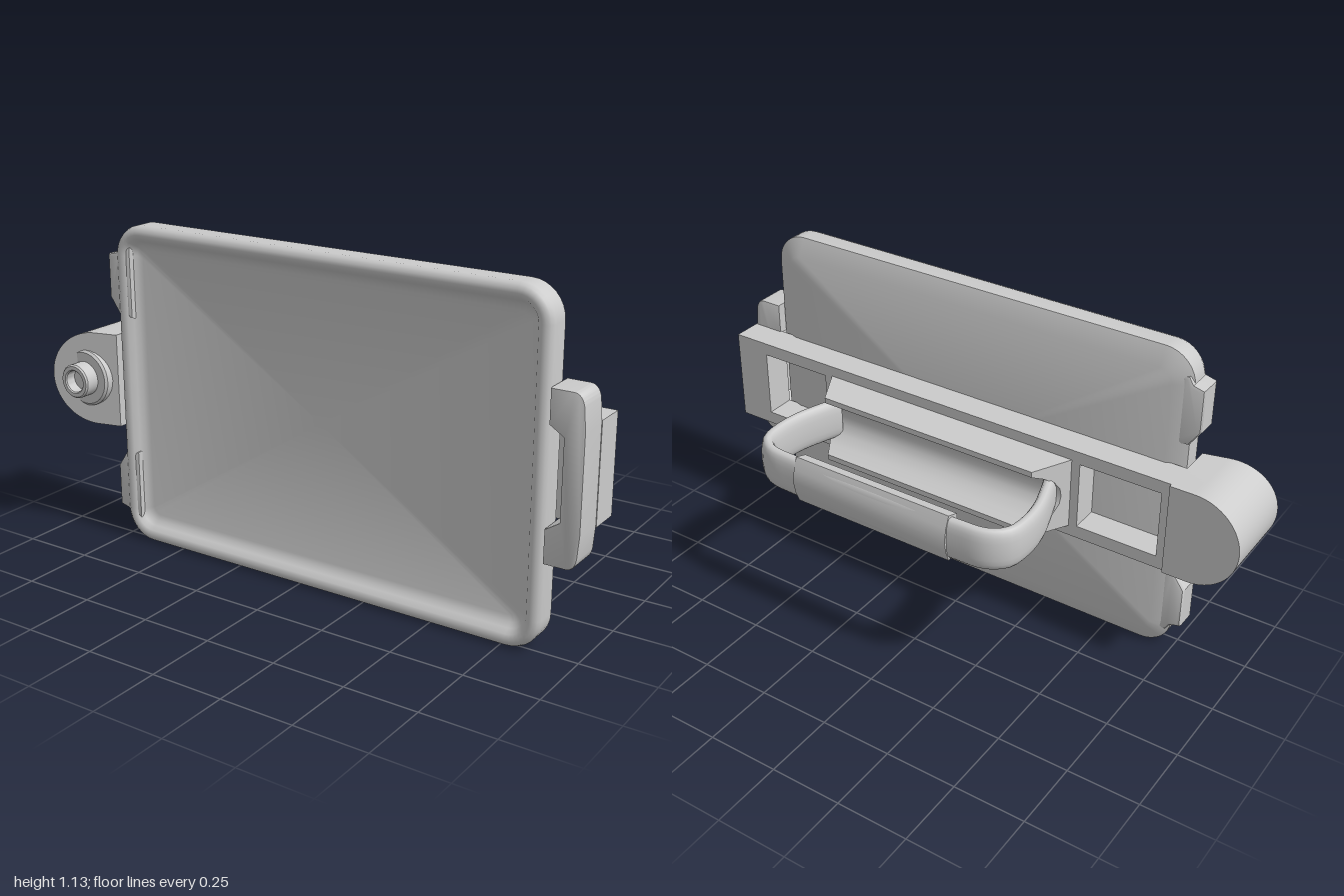
import * as THREE from 'three';
import { toCreasedNormals } from 'three/addons/utils/BufferGeometryUtils.js';

const MID = 0.575;      // height of the bar, boss and handle
const GRIP_X = 0.085;   // centre of the handle

const V = (x, y, z) => new THREE.Vector3(x, y, z);

// Skin a list of equal-length rings (counter-clockwise about the travel direction), capped at both ends
function loft(rings) {
  const n = rings[0].length, pos = [], idx = [];
  rings.flat().forEach(p => pos.push(p.x, p.y, p.z));
  for (let i = 0; i < rings.length - 1; i++) {
    for (let j = 0; j < n; j++) {
      const a = i * n + j, b = i * n + (j + 1) % n;
      idx.push(a, b, b + n, a, b + n, a + n);
    }
  }
  [0, rings.length - 1].forEach((r, end) => {
    const c = rings[r].reduce((s, p) => s.add(p), V(0, 0, 0)).divideScalar(n);
    const k = pos.length / 3;
    pos.push(c.x, c.y, c.z);
    for (let j = 0; j < n; j++) {
      const a = r * n + j, b = r * n + (j + 1) % n;
      if (end) idx.push(k, a, b); else idx.push(k, b, a);
    }
  });
  const g = new THREE.BufferGeometry();
  g.setAttribute('position', new THREE.Float32BufferAttribute(pos, 3));
  g.setIndex(idx);
  return g;
}

// Rounded rectangle outline at depth z
function roundedRing(x0, x1, y0, y1, r, z) {
  const ring = [], steps = 8;
  const centres = [[x1 - r, y1 - r], [x0 + r, y1 - r], [x0 + r, y0 + r], [x1 - r, y0 + r]];
  centres.forEach(([cx, cy], q) => {
    for (let i = 0; i <= steps; i++) {
      const a = (q + i / steps) * Math.PI / 2;
      ring.push(V(cx + r * Math.cos(a), cy + r * Math.sin(a), z));
    }
  });
  return ring;
}

const polygon = pts => new THREE.Shape(pts.map(([x, y]) => new THREE.Vector2(x, y)));

// Extrude a front-facing outline between two depths, with an optional bevel
function slab(shape, z0, z1, bevel = 0) {
  const g = new THREE.ExtrudeGeometry(shape, {
    depth: z1 - z0 - 2 * bevel, bevelEnabled: bevel > 0, bevelSize: bevel,
    bevelOffset: -bevel, bevelThickness: bevel, bevelSegments: 2, curveSegments: 24,
  });
  return g.translate(0, 0, z0 + bevel);
}

// Move every vertex by a rule
function reshape(g, rule) {
  const p = g.attributes.position, v = V(0, 0, 0);
  for (let i = 0; i < p.count; i++) {
    rule(v.fromBufferAttribute(p, i));
    p.setXYZ(i, v.x, v.y, v.z);
  }
  return g;
}

export function createModel() {
  const model = new THREE.Group();
  const grey = new THREE.MeshStandardMaterial({ color: 0xcccccc });
  const add = (name, geometry, crease = 0.6) => {
    const mesh = new THREE.Mesh(toCreasedNormals(geometry, crease), grey);
    mesh.name = name;
    model.add(mesh);
    return mesh;
  };

  // Tray: chamfered back, rounded rim and sunken front face, as [inset, z]
  const trayProfile = [[0.065, 0.17], [0, 0.198], [0, 0.262], [0.006, 0.276], [0.018, 0.284],
    [0.03, 0.285], [0.043, 0.279], [0.056, 0.262], [0.07, 0.248], [0.09, 0.241]];
  add('tray', loft(trayProfile.map(([d, z]) =>
    roundedRing(-0.74 + d, 0.88 - d, d, 1.13 - d, Math.max(0.11 - d, 0.03), z))));

  // Pair of tabs on the tray's edge
  for (const s of [1, -1]) {
    const y = h => 0.565 + s * h;
    const pts = [[-0.68, y(0.24)], [-0.68, y(0.49)], [-0.725, y(0.49)], [-0.74, y(0.465)],
      [-0.778, y(0.455)], [-0.778, y(0.305)], [-0.74, y(0.25)]];
    add('edgeTab', slab(polygon(pts), 0.185, 0.277, 0.012));
  }

  // Back bar with two windows
  const bar = polygon([[-0.83, 0.41], [1, 0.41], [1, 0.74], [-0.83, 0.74]]);
  for (const [x0, x1] of [[-0.72, -0.43], [0.6, 0.87]]) {
    bar.holes.push(new THREE.Path([[x0, 0.455], [x0, 0.695], [x1, 0.695], [x1, 0.455]]
      .map(([x, y]) => new THREE.Vector2(x, y))));
  }
  add('backBar', slab(bar, 0.07, 0.178));

  // Round end boss with a slanted front
  const boss = new THREE.Shape();
  boss.moveTo(-0.75, 0.41);
  boss.lineTo(-0.75, 0.74);
  boss.lineTo(-0.835, 0.74);
  boss.absarc(-0.835, MID, 0.165, Math.PI / 2, Math.PI * 1.5, false);
  add('endBoss', reshape(slab(boss, 0.058, 0.345), v => {
    if (v.z > 0.2) v.z = 0.345 - 0.24 * (v.x + 1);
  }));

  // Hollow peg on a collar
  const pegProfile = [[0.1, 0.24], [0.1, 0.315], [0.092, 0.322], [0.06, 0.322], [0.06, 0.37],
    [0.055, 0.376], [0.042, 0.376], [0.038, 0.372], [0.038, 0.335], [0, 0.335]];
  const peg = new THREE.LatheGeometry(pegProfile.map(([r, z]) => new THREE.Vector2(r, z)), 32);
  add('peg', peg.rotateX(Math.PI / 2).translate(-0.872, MID, 0));

  // End clip with a notch facing the tray
  const clip = new THREE.Shape();
  clip.moveTo(0.885, 0.305);
  clip.lineTo(0.955, 0.305);
  clip.quadraticCurveTo(0.985, 0.305, 0.992, 0.345);
  clip.lineTo(0.998, 0.42);
  clip.lineTo(0.998, 0.73);
  clip.lineTo(0.992, 0.805);
  clip.quadraticCurveTo(0.985, 0.845, 0.955, 0.845);
  clip.lineTo(0.885, 0.845);
  clip.lineTo(0.885, 0.735);
  clip.lineTo(0.932, 0.705);
  clip.lineTo(0.932, 0.445);
  clip.lineTo(0.885, 0.415);
  add('endClip', slab(clip, 0.172, 0.285, 0.004));

  // Handle base: troughed section with ends sloping inwards
  const half = [[-0.07, 0.128], [0.06, 0.125], [0.06, 0.105], [0.02, 0.085], [-0.015, 0.06], [-0.035, 0.03]];
  const section = [...half.map(([x, h]) => [x, MID - h]), [-0.04, MID],
    ...half.slice().reverse().map(([x, h]) => [x, MID + h])];
  const base = new THREE.ExtrudeGeometry(polygon(section), { depth: 0.97, bevelEnabled: false });
  base.rotateY(Math.PI / 2).translate(GRIP_X - 0.485, 0, 0);
  add('handleBase', reshape(base, v => {
    v.x -= Math.sign(v.x - GRIP_X) * (0.07 - v.z) * 0.54;
  }));

  // Handle bow: flat oval section swept along a mirrored path
  const side = [[0.43, 0.03], [0.452, -0.03], [0.482, -0.13], [0.49, -0.22], [0.478, -0.29],
    [0.425, -0.335], [0.32, -0.346]];
  const path = [...side.map(([x, z]) => V(GRIP_X - x, MID, z)),
    ...side.slice().reverse().map(([x, z]) => V(GRIP_X + x, MID, z))];
  const curve = new THREE.CatmullRomCurve3(path, false, 'centripetal');
  const rings = [];
  for (let i = 0; i <= 70; i++) {
    const p = curve.getPointAt(i / 70), t = curve.getTangentAt(i / 70);
    const across = V(0, 1, 0).cross(t);
    rings.push(Array.from({ length: 20 }, (_, j) => {
      const a = j / 20 * Math.PI * 2, c = Math.cos(a), s = Math.sin(a);
      const round = e => Math.sign(e) * Math.abs(e) ** 0.75;
      return p.clone().addScaledVector(across, 0.024 * round(c)).add(V(0, 0.074 * round(s), 0));
    }));
  }
  add('handleBow', loft(rings), 0.9);

  // Grip sleeve with a ridged back
  const grip = [[0.085, -0.357], [0.07, -0.312], [-0.07, -0.312], [-0.085, -0.357], [-0.045, -0.373],
    [0, -0.381], [0.045, -0.373]];
  add('grip', loft([-0.3, 0.3].map(x => grip.map(([y, z]) => V(GRIP_X + x, MID + y, z)))));

  return model;
}
